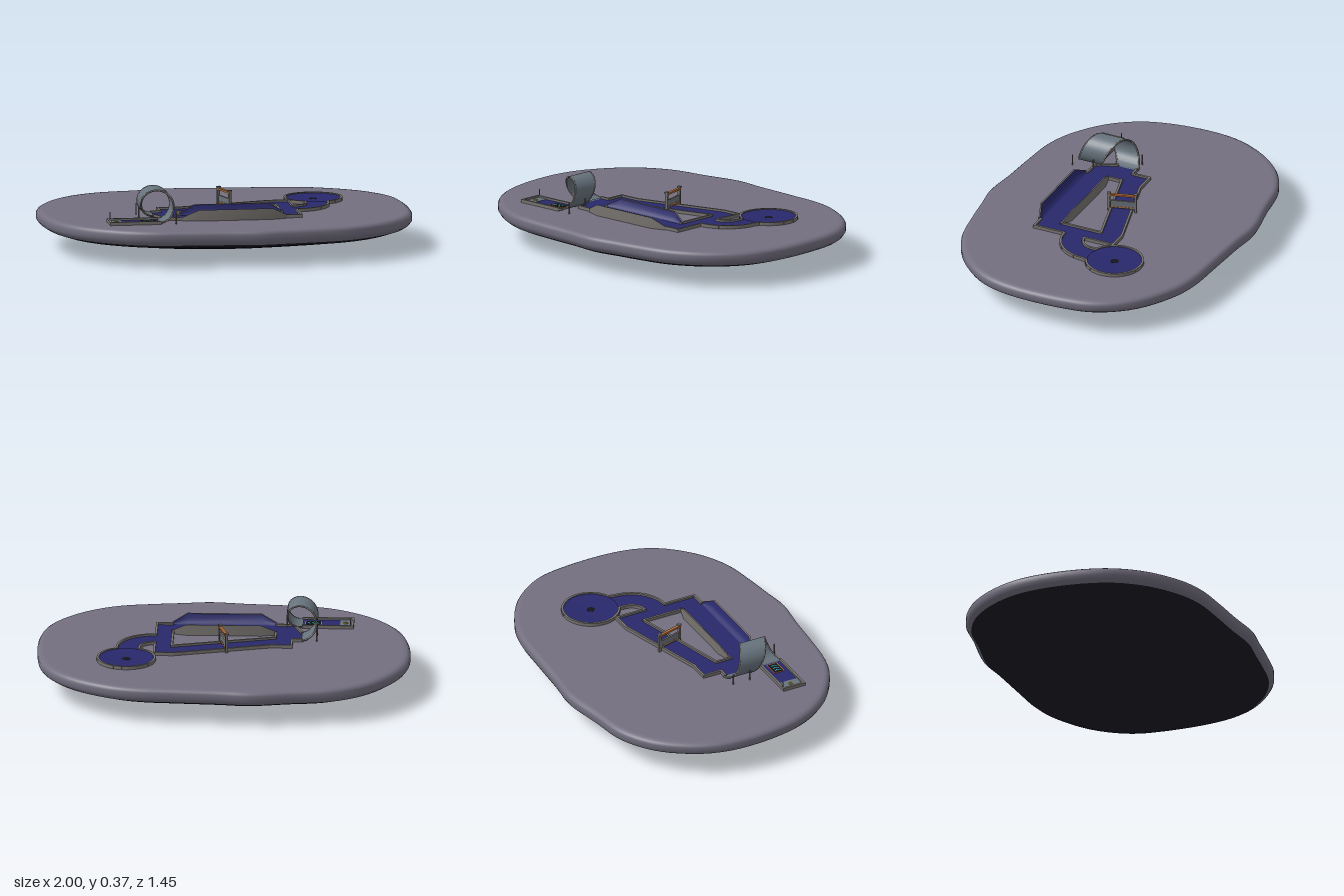
import * as THREE from 'three';
import { mergeGeometries, toCreasedNormals } from 'three/addons/utils/BufferGeometryUtils.js';

const mat = (color) => new THREE.MeshStandardMaterial({ color, side: THREE.DoubleSide });
const MAT = {
  ground: mat(0x736f80), under: mat(0x1c1b25), rail: mat(0x77736f), carpet: mat(0x28286c),
  metal: mat(0x66727c), dark: mat(0x15151c), teal: mat(0x35b5a5), orange: mat(0xb06a35), yellow: mat(0xc8b040),
};

function add(parent, name, geometry, material, x = 0, y = 0, z = 0) {
  const mesh = new THREE.Mesh(geometry, material);
  mesh.name = name;
  mesh.position.set(x, y, z);
  parent.add(mesh);
  return mesh;
}

// Surface through rows of [x, y, z] points; closed joins the last column to the first
function loft(rows, closed = false) {
  const n = rows[0].length, index = [];
  for (let i = 0; i < rows.length - 1; i++) {
    for (let j = 0; j < (closed ? n : n - 1); j++) {
      const k = (j + 1) % n, a = i * n + j, c = i * n + k, b = a + n, d = c + n;
      index.push(a, c, b, c, d, b);
    }
  }
  const g = new THREE.BufferGeometry();
  g.setAttribute('position', new THREE.Float32BufferAttribute(rows.flat(2), 3));
  g.setIndex(index);
  g.computeVertexNormals();
  return g;
}

// Points [x, z] along an arc
function arc(cx, cz, r, from, to, steps) {
  return Array.from({ length: steps + 1 }, (_, i) => {
    const a = from + (to - from) * i / steps;
    return [cx + r * Math.cos(a), cz + r * Math.sin(a)];
  });
}

// Low kerb made of boxes following [x, z] points
function kerb(points) {
  const boxes = [];
  for (let i = 0; i < points.length - 1; i++) {
    const [x0, z0] = points[i], [x1, z1] = points[i + 1];
    const box = new THREE.BoxGeometry(Math.hypot(x1 - x0, z1 - z0) + 0.011, 0.024, 0.012);
    box.rotateY(-Math.atan2(z1 - z0, x1 - x0));
    box.translate((x0 + x1) / 2, 0.206, (z0 + z1) / 2);
    boxes.push(box);
  }
  return mergeGeometries(boxes);
}

// Flat carpet slab with optional hole, from [x, z] points
function slab(points, hole) {
  const flip = (list) => list.map(([x, z]) => new THREE.Vector2(x, -z));
  const shape = new THREE.Shape(flip(points));
  if (hole) shape.holes.push(new THREE.Path(flip(hole)));
  const g = new THREE.ExtrudeGeometry(shape, { depth: 0.012, bevelEnabled: false });
  return g.rotateX(-Math.PI / 2).translate(0, 0.195, 0);
}

function buildIsland(parent) {
  const outline = [[-1, -0.07], [-0.96, -0.3], [-0.81, -0.53], [-0.62, -0.65], [-0.4, -0.69], [-0.17, -0.73],
    [0, -0.715], [0.25, -0.7], [0.45, -0.685], [0.6, -0.645], [0.82, -0.51], [0.95, -0.33], [0.99, -0.15],
    [0.99, 0.18], [0.93, 0.37], [0.78, 0.54], [0.6, 0.64], [0.4, 0.68], [0.25, 0.7], [0.1, 0.72],
    [-0.1, 0.7], [-0.3, 0.685], [-0.5, 0.66], [-0.65, 0.6], [-0.83, 0.46], [-0.95, 0.26]];
  const curve = new THREE.CatmullRomCurve3(outline.map(([x, z]) => new THREE.Vector3(x, 0, z)), true);
  const ring = curve.getPoints(120).slice(0, 120);
  const rows = (profile) => profile.map(([s, y]) => ring.map((p) => [p.x * s, y, p.z * s]));
  add(parent, 'islandTop', loft(rows([[0, 0.2], [0.5, 0.2], [0.96, 0.2], [0.98, 0.198], [0.993, 0.19],
    [1, 0.178], [1, 0.152], [0.988, 0.135], [0.965, 0.12]]), true), MAT.ground);
  add(parent, 'islandUnderside', loft(rows([[0.965, 0.12], [0.91, 0.102], [0.7, 0.072], [0.5, 0.045],
    [0.25, 0.022], [0, 0]]), true), MAT.under);
}

function buildTee(parent) {
  const edge = [[-0.41, 0.31], [-0.675, 0.31], [-0.675, 0.43], [-0.41, 0.43]];
  add(parent, 'startLane', slab(edge), MAT.carpet);
  add(parent, 'startKerb', kerb(edge), MAT.rail);
  add(parent, 'teeMat', new THREE.BoxGeometry(0.065, 0.004, 0.11), MAT.metal, -0.64, 0.207, 0.37);
  add(parent, 'teeSpot', new THREE.TorusGeometry(0.01, 0.003, 6, 16).rotateX(Math.PI / 2), MAT.yellow, -0.638, 0.21, 0.37);
  add(parent, 'teePole', new THREE.CylinderGeometry(0.003, 0.003, 0.055, 8), MAT.rail, -0.665, 0.225, 0.31);

  // Boost pad with three chevrons
  add(parent, 'boostPadEdge', new THREE.BoxGeometry(0.09, 0.004, 0.06), MAT.orange, -0.465, 0.207, 0.37);
  add(parent, 'boostPad', new THREE.BoxGeometry(0.08, 0.004, 0.05), MAT.dark, -0.465, 0.208, 0.37);
  for (let i = 0; i < 3; i++) {
    for (const s of [-1, 1]) {
      const bar = add(parent, 'chevron', new THREE.BoxGeometry(0.022, 0.003, 0.005), MAT.teal,
        -0.488 + i * 0.022, 0.2095, 0.37 + s * 0.009);
      bar.rotation.y = s * 0.95;
    }
  }
}

function buildLoop(parent) {
  // Ribbon makes one full turn while sliding towards the back
  const steps = 64, cx = -0.41, cy = 0.288;
  const at = (t, r, dz) => {
    const a = t * Math.PI * 2;
    return [cx + r * Math.sin(a), cy - r * Math.cos(a), 0.37 - 0.222 * t + dz];
  };
  const rows = [], edges = [[], []];
  for (let i = 0; i <= steps; i++) {
    const t = i / steps, w = 0.062 + 0.014 * Math.sin(Math.PI * t);
    rows.push([at(t, 0.077, -w), at(t, 0.077, w), at(t, 0.083, w), at(t, 0.083, -w)]);
    edges.forEach((e, k) => e.push(new THREE.Vector3(...at(t, 0.08, k ? w : -w))));
  }
  add(parent, 'loopRibbon', toCreasedNormals(loft(rows, true), 0.6), MAT.metal);
  for (const e of edges) {
    add(parent, 'loopEdge', new THREE.TubeGeometry(new THREE.CatmullRomCurve3(e), 80, 0.005, 6), MAT.rail);
  }
  for (const [x, z] of [[-0.492, 0.1], [-0.492, 0.2], [-0.325, 0.31], [-0.325, 0.435]]) {
    add(parent, 'loopPole', new THREE.CylinderGeometry(0.004, 0.004, 0.065, 8), MAT.rail, x, 0.229, z);
  }
}

function buildCourse(parent) {
  // Outer edge: past the slanted lane, around the bend and green, and back along the pipe lane
  const back = [[-0.41, 0.095], [-0.36, 0.095], [-0.36, -0.008], [-0.245, -0.008], [0.265, -0.15], [0.37, -0.15],
    ...arc(0.37, -0.06, 0.08, Math.PI / 2, 0, 8),
    ...arc(0.515, -0.23, 0.152, 2.0, 7.42, 36),
    ...arc(0.37, -0.06, 0.2, 0, Math.PI / 2, 12), [0.37, 0.32], [0.29, 0.32]];
  const front = [[-0.27, 0.32], [-0.365, 0.315], [-0.41, 0.205]];
  const inner = [[-0.27, 0.203], [-0.27, 0.115], [0.28, -0.035], [0.28, 0.203]];
  add(parent, 'courseCarpet', slab([...back, ...front], inner), MAT.carpet);
  for (const line of [back, front, inner]) add(parent, 'courseKerb', kerb(line), MAT.rail);

  // Banked sides of the pipe lane, rising and widening between its ends
  const stations = [[-0.275, 0.2], [-0.19, 1], [0.21, 1], [0.29, 0.2]];
  for (const [z0, s] of [[0.318, 1], [0.207, -1]]) {
    const width = s > 0 ? 0.036 : 0.028;
    const section = (points) => stations.map(([x, k]) => points.map(([w, h]) =>
      [x, 0.206 + 0.052 * k * h, z0 + s * (width * k * w)]));
    add(parent, 'pipeBank', loft(section([[0, 0], [0.45, 0.15], [0.8, 0.5], [1, 1]])), MAT.carpet);
    const skirt = stations.map(([x, k]) => {
      const y = 0.206 + 0.052 * k, z = z0 + s * width * k;
      return [[x, y, z], [x, y + 0.002, z + s * 0.008], [x, 0.196, z + s * 0.008]];
    });
    add(parent, 'pipeBankWall', toCreasedNormals(loft(skirt), 0.6), MAT.rail);
  }

  // Dished round green with its cup
  const dish = [[0.019, 0.2075], [0.08, 0.209], [0.148, 0.213]].map((p) => new THREE.Vector2(...p));
  add(parent, 'roundGreen', new THREE.LatheGeometry(dish, 48), MAT.carpet, 0.515, 0, -0.23);
  add(parent, 'cup', new THREE.CylinderGeometry(0.022, 0.022, 0.004, 24), MAT.dark, 0.515, 0.2065, -0.23);
}

function buildGate(parent) {
  const gate = new THREE.Group();
  gate.name = 'gate';
  gate.position.set(0.003, 0.2, -0.025);
  gate.rotation.y = 0.28;
  parent.add(gate);
  for (const s of [-1, 1]) {
    add(gate, 'gatePost', new THREE.BoxGeometry(0.014, 0.108, 0.012), MAT.rail, 0, 0.054, s * 0.073);
    add(gate, 'gatePostCap', new THREE.BoxGeometry(0.02, 0.008, 0.018), MAT.rail, 0, 0.106, s * 0.073);
  }
  add(gate, 'gateBeam', new THREE.BoxGeometry(0.016, 0.01, 0.15), MAT.orange, 0, 0.097, 0);
  add(gate, 'gateBoard', new THREE.BoxGeometry(0.008, 0.042, 0.13), MAT.metal, 0, 0.039, 0);
  add(gate, 'gateRail', new THREE.BoxGeometry(0.01, 0.005, 0.14), MAT.rail, 0, 0.061, 0);
  for (let i = 0; i < 6; i++) {
    const stripe = add(gate, 'gateStripe', new THREE.BoxGeometry(0.01, 0.014, 0.01), MAT.orange, 0, 0.026, -0.05 + i * 0.02);
    stripe.rotation.x = 0.5;
  }
}

export function createModel() {
  const model = new THREE.Group();
  model.name = 'minigolfIsland';
  for (const build of [buildIsland, buildTee, buildLoop, buildCourse, buildGate]) build(model);
  return model;
}
